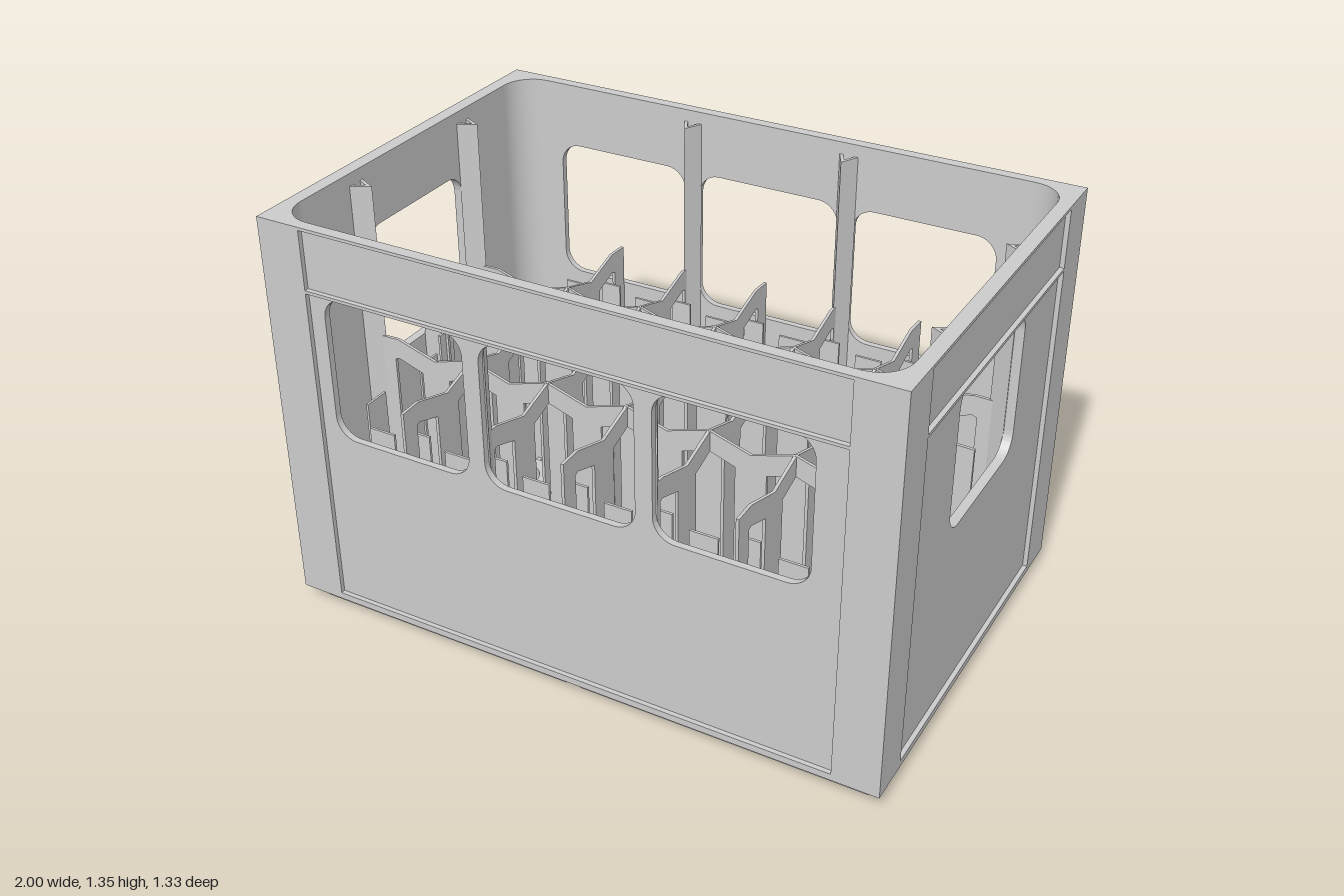
import * as THREE from 'three';
import { toCreasedNormals } from 'three/addons/utils/BufferGeometryUtils.js';

const material = new THREE.MeshStandardMaterial({ color: 0xcccccc });
const CELL_X = [-0.71, -0.435, -0.16, 0.115, 0.39, 0.665];
const CELL_Z = [-0.417, -0.14, 0.137, 0.412];
const LINE_X = [-0.572, -0.297, -0.022, 0.253, 0.528];
const LINE_Z = [-0.278, 0, 0.275];

export function createModel() {
  const model = new THREE.Group();

  const add = (name, geometry) => {
    const mesh = new THREE.Mesh(geometry, material);
    mesh.name = name;
    model.add(mesh);
    return mesh;
  };
  // box given by its limits on each axis
  const box = (name, x0, x1, y0, y1, z0, z1) =>
    add(name, new THREE.BoxGeometry(x1 - x0, y1 - y0, z1 - z0))
      .position.set((x0 + x1) / 2, (y0 + y1) / 2, (z0 + z1) / 2);
  const polygon = (points) => new THREE.Shape(points.map(([x, y]) => new THREE.Vector2(x, y)));
  // upright sheet centred on its own plane, optionally turned to run along z
  const sheet = (shape, thickness, alongZ) => {
    let g = new THREE.ExtrudeGeometry(shape, { depth: thickness, bevelEnabled: false, curveSegments: 8 });
    g.translate(0, 0, -thickness / 2);
    if (alongZ) g.rotateY(-Math.PI / 2);
    return toCreasedNormals(g, 0.6);
  };
  // plan outline in (x, z) raised from y0 to y1
  const column = (points, y0, y1) => {
    const g = new THREE.ExtrudeGeometry(polygon(points.map(([x, z]) => [x, -z])), { depth: y1 - y0, bevelEnabled: false });
    g.rotateX(-Math.PI / 2);
    g.translate(0, y0, 0);
    return toCreasedNormals(g, 0.6);
  };
  const windowHole = (x0, x1) => {
    const y0 = 0.665, y1 = 1.138, r = 0.07, p = new THREE.Path();
    p.moveTo(x0 + r, y0);
    p.lineTo(x1 - r, y0);
    p.absarc(x1 - r, y0 + r, r, -Math.PI / 2, 0, false);
    p.absarc(x1 - r, y1 - r, r, 0, Math.PI / 2, false);
    p.absarc(x0 + r, y1 - r, r, Math.PI / 2, Math.PI, false);
    p.absarc(x0 + r, y0 + r, r, Math.PI, Math.PI * 1.5, false);
    return p;
  };
  const wallShape = (half, windows) => {
    const s = polygon([[-half, 0.05], [half, 0.05], [half, 1.35], [-half, 1.35]]);
    windows.forEach(([a, b]) => s.holes.push(windowHole(a, b)));
    return s;
  };

  // Recessed walls with rounded windows
  const longWall = wallShape(0.855, [[-0.802, -0.325], [-0.27, 0.225], [0.28, 0.757]]);
  const endWall = wallShape(0.525, [[-0.25, 0.25]]);
  for (const s of [-1, 1]) {
    add('longWall', sheet(longWall, 0.022, false)).position.z = s * 0.641;
    add('endWall', sheet(endWall, 0.03, true)).position.x = s * 0.97;
    // Flush horizontal ridges: sill, handle ledge and rim
    for (const [y0, y1] of [[0.05, 0.072], [1.14, 1.15], [1.34, 1.35]]) {
      const [za, zb] = s > 0 ? [0.632, 0.667] : [-0.667, -0.632];
      const [xa, xb] = s > 0 ? [0.957, 1] : [-1, -0.957];
      box('wallRidge', -0.853, 0.853, y0, y1, za, zb);
      box('wallRidge', xa, xb, y0, y1, -0.523, 0.523);
    }
  }

  // Corner posts, square outside and rounded inside
  for (const sx of [-1, 1]) for (const sz of [-1, 1]) {
    const outline = [[0.852, 0.63], [0.852, 0.667], [1, 0.667], [1, 0.522], [0.955, 0.522]];
    for (let i = 0; i <= 8; i++) {
      const a = (i / 8) * Math.PI / 2;
      outline.push([0.852 + 0.103 * Math.cos(a), 0.527 + 0.103 * Math.sin(a)]);
    }
    add('cornerPost', column(outline.map(([x, z]) => [sx * x, sz * z]), 0.05, 1.35));
  }

  // Hollow V ribs on the inner walls
  const rib = [[-0.032, 0], [0, 0.06], [0.032, 0], [0.02, 0], [0, 0.038], [-0.02, 0]];
  for (const s of [-1, 1]) {
    for (const x of [LINE_X[1], LINE_X[3]])
      add('wallRib', column(rib.map(([u, d]) => [x + u, s * (0.631 - d)]), 0.06, 1.31));
    for (const z of [LINE_Z[0], LINE_Z[2]])
      add('wallRib', column(rib.map(([u, d]) => [s * (0.956 - d), z + u]), 0.06, 1.31));
  }

  // Floor frame and stacking lip, notched in the middle of the long sides
  for (const s of [-1, 1]) {
    const [za, zb] = s > 0 ? [0.58, 0.65] : [-0.65, -0.585];
    const [xa, xb] = s > 0 ? [0.91, 0.98] : [-0.98, -0.91];
    box('floorFrame', -0.98, 0.98, 0.05, 0.07, za, zb);
    box('floorFrame', xa, xb, 0.05, 0.07, -0.6, 0.6);
    const [la, lb] = s > 0 ? [0.585, 0.62] : [-0.62, -0.585];
    box('stackingLip', -0.95, -0.045, 0, 0.05, la, lb);
    box('stackingLip', 0.005, 0.95, 0, 0.05, la, lb);
    box('stackingLip', s > 0 ? 0.915 : -0.95, s > 0 ? 0.95 : -0.915, 0, 0.05, -0.6, 0.6);
  }

  // Divider plates: zigzag top edge, gabled openings at every crossing
  const dividerShape = (cells, lines, edge, end) => {
    const crossings = [-edge, ...lines, edge];
    const outline = [[-end, 0.04], [end, 0.04], [end, 0.8]];
    for (let i = cells.length; i >= 0; i--) {
      outline.push([crossings[i], 0.803]);
      if (i > 0) outline.push([cells[i - 1], 0.76]);
    }
    outline.push([-end, 0.8]);
    const shape = polygon(outline);
    crossings.forEach((c, i) => {
      const left = i === 0 ? 0.015 : 0.087;
      const right = i === cells.length ? 0.015 : 0.087;
      const roof = (d) => 0.735 - d * 0.34;
      shape.holes.push(new THREE.Path(
        [[c - left, 0.1], [c + right, 0.1], [c + right, roof(right)], [c, 0.735], [c - left, roof(left)]]
          .map(([x, y]) => new THREE.Vector2(x, y))));
    });
    return shape;
  };
  const lengthwise = dividerShape(CELL_X, LINE_X, 0.847, 0.955);
  const crosswise = dividerShape(CELL_Z, LINE_Z, 0.555, 0.63);
  for (const z of LINE_Z) add('lengthwiseDivider', sheet(lengthwise, 0.01, false)).position.z = z;
  for (const x of LINE_X) add('crosswiseDivider', sheet(crosswise, 0.01, true)).position.x = x;

  // Small upright fins standing just inside the walls
  for (const s of [-1, 1]) {
    const fin = (x, z, w, h, alongZ) => {
      const a = alongZ ? 0.004 : w / 2, b = alongZ ? w / 2 : 0.004;
      box('edgeFin', x - a, x + a, 0.04, h, z - b, z + b);
    };
    for (const x of LINE_X) fin(x, s * 0.553, 0.07, 0.69, false);
    for (const x of CELL_X) fin(x, s * 0.558, 0.09, 0.66, false);
    fin(s * 0.875, 0, 0.07, 0.69, true);
    for (const z of CELL_Z) fin(s * 0.847, z, 0.09, 0.66, true);
  }

  // Bottle seats: rings joined by low ribs
  const seat = toCreasedNormals(new THREE.LatheGeometry(
    [[0.07, 0.03], [0.1, 0.03], [0.113, 0.06], [0.113, 0.1], [0.07, 0.1], [0.07, 0.03]]
      .map(([r, y]) => new THREE.Vector2(r, y)), 32), 0.6);
  for (const x of CELL_X) for (const z of CELL_Z) add('bottleSeat', seat).position.set(x, 0, z);
  const spans = (cells, end) => [-end, ...cells, end].slice(1).map((b, i) => [
    i === 0 ? -end : cells[i - 1] + 0.105, i === cells.length ? end : b - 0.105]);
  for (const z of CELL_Z)
    for (const [a, b] of spans(CELL_X, 0.93)) box('floorRib', a, b, 0.03, 0.095, z - 0.008, z + 0.008);
  for (const x of CELL_X)
    for (const [a, b] of spans(CELL_Z, 0.61)) box('floorRib', x - 0.008, x + 0.008, 0.03, 0.095, a, b);

  return model;
}
